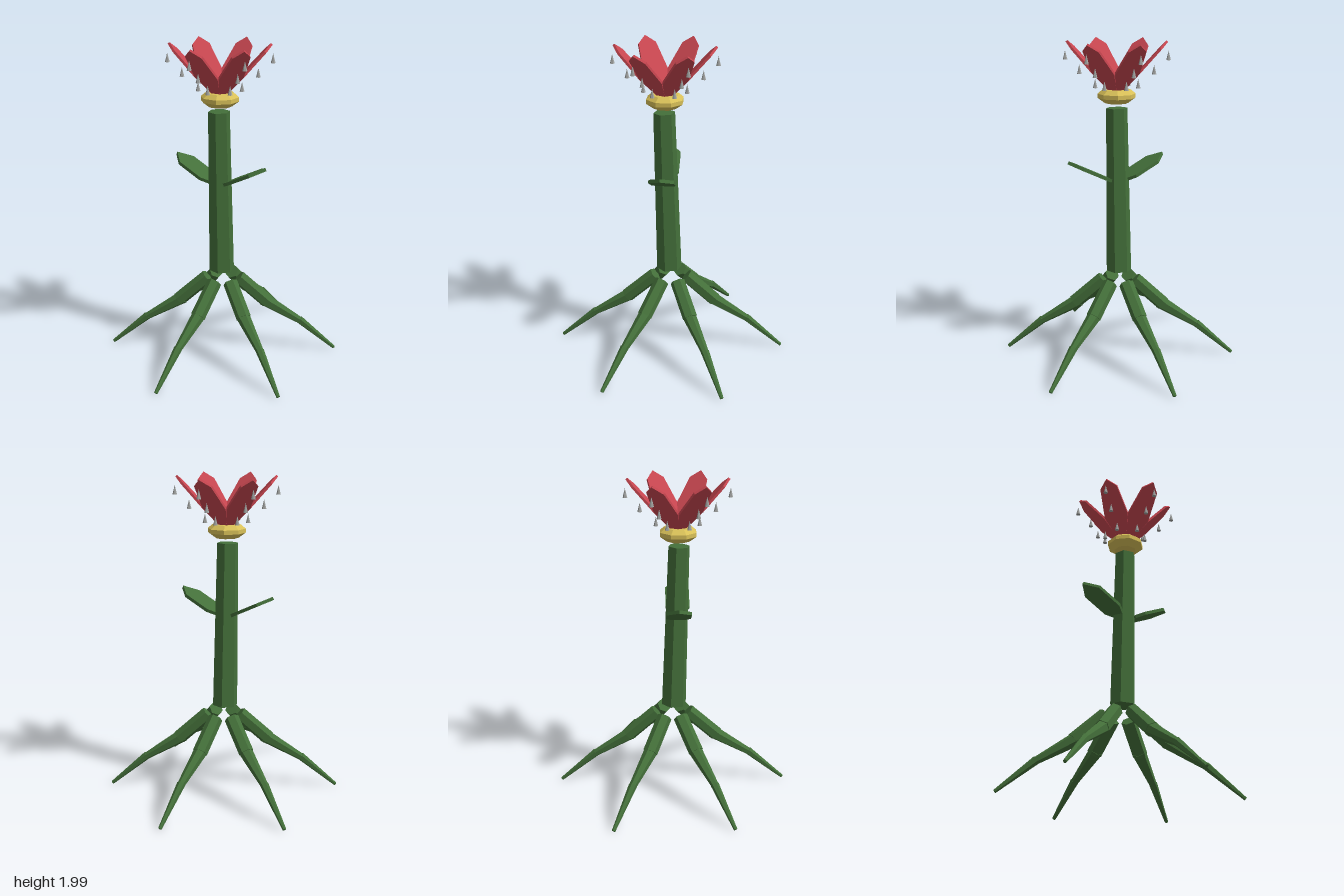
import * as THREE from 'three';

const mat = (name, color) => {
  const m = new THREE.MeshStandardMaterial({ color, flatShading: true });
  m.name = name;
  return m;
};

// Flat blade along +y, mirrored from [halfWidth, length] points, centred on its thickness
function bladeGeometry(half, tip, thickness) {
  const shape = new THREE.Shape([
    ...half.map(([w, s]) => new THREE.Vector2(w, s)),
    new THREE.Vector2(0, tip),
    ...half.slice().reverse().map(([w, s]) => new THREE.Vector2(-w, s)),
  ]);
  const geo = new THREE.ExtrudeGeometry(shape, { depth: thickness, bevelEnabled: false });
  return geo.translate(0, 0, -thickness / 2);
}

export function createModel() {
  const model = new THREE.Group();
  const green = mat('stem green', 0x44703a);
  const red = mat('petal red', 0xc84650);
  const yellow = mat('centre yellow', 0xd8c058);
  const grey = mat('dew grey', 0xa2a4a2);

  const add = (parent, name, geo, material) => {
    const mesh = new THREE.Mesh(geo, material);
    mesh.name = name;
    parent.add(mesh);
    return mesh;
  };
  // Group turned about the vertical axis; parts in it reach out along local +z
  const spoke = (name, angle, z) => {
    const g = new THREE.Group();
    g.name = name;
    g.rotation.y = angle;
    g.position.z = z;
    model.add(g);
    return g;
  };

  // Slightly leaning hexagonal stem
  const stem = add(model, 'stem', new THREE.CylinderGeometry(0.066, 0.079, 1.03, 6), green);
  stem.position.set(-0.004, 1.073, 0.025);
  stem.rotation.set(0.029, Math.PI / 12, 0);

  // Roots: three tapering segments each, [reach, height, radius] at both ends
  const segments = [
    [[0.1, 0.5, 0.046], [0.285, 0.335, 0.046]],
    [[0.26, 0.35, 0.044], [0.515, 0.195, 0.022]],
    [[0.495, 0.21, 0.026], [0.725, 0.016, 0.011]],
  ];
  for (let i = 0; i < 6; i++) {
    const root = spoke('root', i * Math.PI / 3, 0);
    for (const [a, b] of segments) {
      const dr = b[0] - a[0], dy = b[1] - a[1];
      const geo = new THREE.CylinderGeometry(b[2], a[2], Math.hypot(dr, dy), 6);
      const seg = add(root, 'rootSegment', geo, green);
      seg.position.set(0, (a[1] + b[1]) / 2, (a[0] + b[0]) / 2);
      seg.rotation.x = Math.atan2(dr, dy);
    }
  }

  // Pair of leaves
  const leafGeo = bladeGeometry([[0.04, 0], [0.075, 0.055], [0.075, 0.225]], 0.306, 0.02);
  for (const side of [-1, 1]) {
    const leaf = add(spoke('leafSide', side * Math.PI / 2, 0.035), 'leaf', leafGeo, green);
    leaf.position.set(0, 1.145, 0.05);
    leaf.rotation.x = 1.114;
  }

  // Flower centre
  const profile = [[0, 1.62], [0.072, 1.62], [0.116, 1.652], [0.116, 1.677], [0.085, 1.702], [0, 1.702]]
    .map(([r, y]) => new THREE.Vector2(r, y));
  const centre = add(model, 'flowerCentre', new THREE.LatheGeometry(profile, 8), yellow);
  centre.rotation.y = Math.PI / 8;
  centre.position.z = 0.035;

  // Petals, each with three dew drops hanging beneath
  const petalGeo = bladeGeometry([[0.024, 0], [0.08, 0.165], [0.057, 0.35]], 0.404, 0.014);
  const dropGeo = new THREE.ConeGeometry(0.014, 0.056, 6);
  const drops = [[0.31, 1.907], [0.225, 1.822], [0.13, 1.737]];
  for (let i = 0; i < 6; i++) {
    const g = spoke('petalGroup', i * Math.PI / 3, 0.033);
    const petal = add(g, 'petal', petalGeo, red);
    petal.position.set(0, 1.69, 0.03);
    petal.rotation.x = 0.734;
    for (const [r, y] of drops) add(g, 'dewDrop', dropGeo, grey).position.set(0, y, r);
  }
  return model;
}
